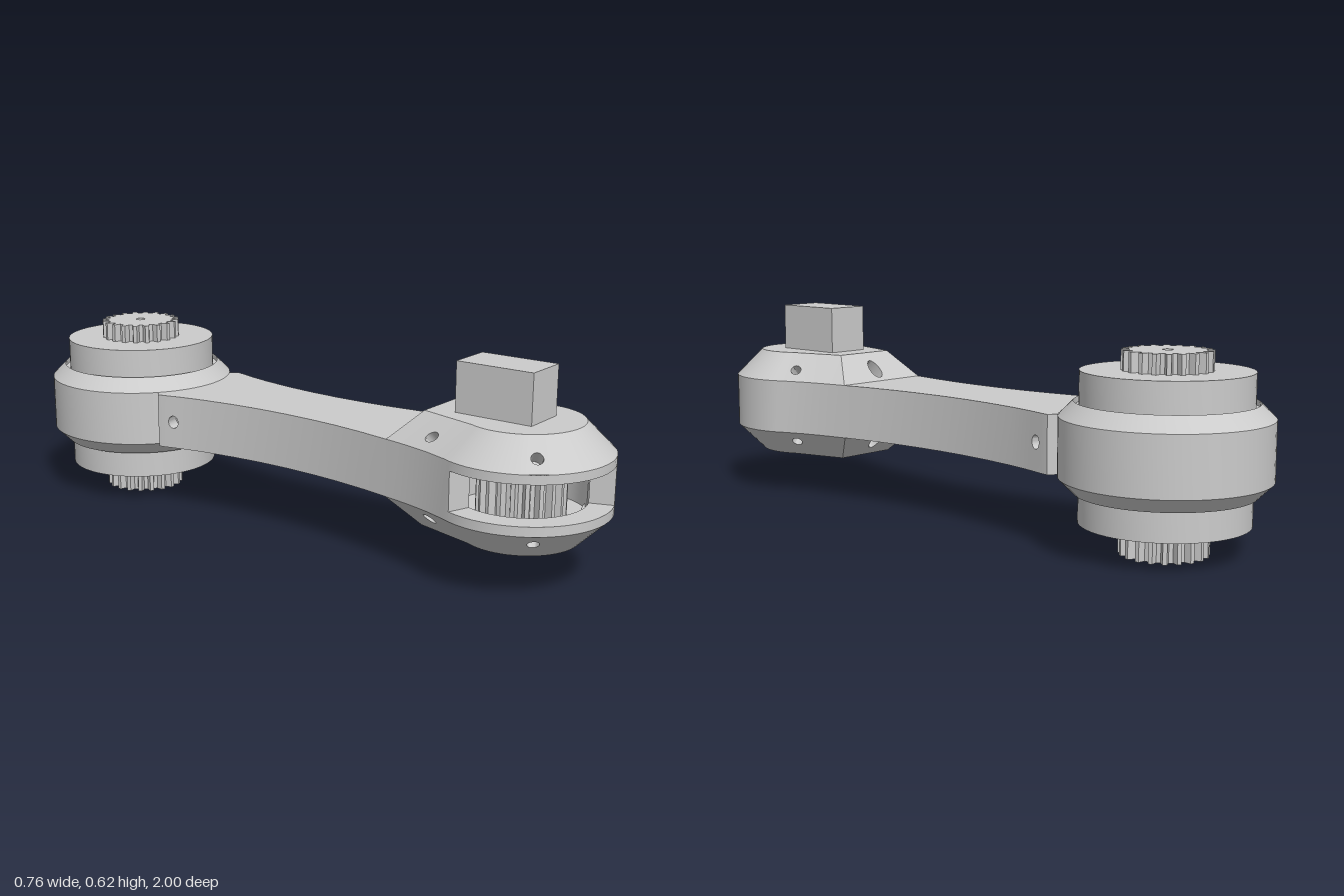
import * as THREE from 'three';
import { toCreasedNormals } from 'three/addons/utils/BufferGeometryUtils.js';

const LOW = 0.215, HIGH = 0.385, BASE = 0.13, TOP = 0.47; // link slab and head heights
const SLOT_LOW = 0.243, SLOT_HIGH = 0.358, FLOOR = 0.2, CEIL = 0.4;
const HEAD = 1.465; // distance from the rear joint to the head centre
const material = new THREE.MeshStandardMaterial({ color: 0xcccccc });

function addMesh(parent, name, geometry, x = 0, y = 0, z = 0) {
  const mesh = new THREE.Mesh(geometry, material);
  mesh.name = name;
  mesh.position.set(x, y, z);
  parent.add(mesh);
  return mesh;
}

// Collects quads, fans and panels with a drilled hole into one geometry
function surfaceBuilder() {
  const pos = [];
  const tri = (...pts) => pts.forEach(p => pos.push(p.x, p.y, p.z));
  const quad = (a, b, c, d) => { tri(a, b, c); tri(a, c, d); };
  const fan = (centre, pts, flip) => pts.forEach((p, i) => {
    const q = pts[(i + 1) % pts.length];
    flip ? tri(centre, q, p) : tri(centre, p, q);
  });
  // hole: centre s,t on the panel, radii rs,rt in panel fractions, depth
  const drilled = (a, b, c, d, { s = 0.5, t = 0.5, rs, rt, depth = 0.05 }) => {
    const at = p => a.clone().lerp(b, p.x).lerp(d.clone().lerp(c, p.x), p.y);
    const square = [[0, 0], [1, 0], [1, 1], [0, 1]].map(p => new THREE.Vector2(...p));
    const rim = Array.from({ length: 16 }, (_, i) => {
      const w = i / 8 * Math.PI;
      return new THREE.Vector2(s + rs * Math.cos(w), t + rt * Math.sin(w));
    });
    const hole = rim.slice().reverse();
    const all = [...square, ...hole].map(at);
    THREE.ShapeUtils.triangulateShape(square, [hole]).forEach(f => tri(...f.map(i => all[i])));
    const inward = b.clone().sub(a).cross(d.clone().sub(a)).normalize().multiplyScalar(-depth);
    const up = rim.map(at), down = up.map(p => p.clone().add(inward));
    up.forEach((p, i) => {
      const j = (i + 1) % up.length;
      quad(down[j], down[i], p, up[j]);
    });
    fan(at(new THREE.Vector2(s, t)).add(inward), down);
  };
  const build = () => {
    const g = new THREE.BufferGeometry();
    g.setAttribute('position', new THREE.Float32BufferAttribute(pos, 3));
    return toCreasedNormals(g, 0.45);
  };
  return { quad, fan, drilled, build };
}

const P = (p, y) => new THREE.Vector3(p[0], y, p[1]);
const polar = (r, deg) => {
  const w = THREE.MathUtils.degToRad(deg);
  return [r * Math.sin(w), HEAD + r * Math.cos(w)];
};
const mirrored = half => [...half, ...half.slice().reverse().map(([u, v]) => [-u, v])];

// Waisted arm between the joint and the head
function armGeometry() {
  const half = [[0.172, 0.242], [0.195, 0.26], [0.19, 0.285], [0.175, 0.34], [0.158, 0.42], [0.142, 0.53],
    [0.133, 0.63], [0.13, 0.73], [0.132, 0.83], [0.138, 0.92], [0.15, 1.02], [0.167, 1.12]];
  const s = surfaceBuilder();
  for (let i = 0; i < half.length - 1; i++) {
    const [r0, r1] = [half[i], half[i + 1]];
    const [l0, l1] = [r0, r1].map(([u, v]) => [-u, v]);
    s.quad(P(l0, HIGH), P(l1, HIGH), P(r1, HIGH), P(r0, HIGH));
    s.quad(P(r0, LOW), P(r1, LOW), P(l1, LOW), P(l0, LOW));
    for (const [a, b] of [[l0, l1], [r1, r0]]) {
      const face = [P(a, LOW), P(b, LOW), P(b, HIGH), P(a, HIGH)];
      if (i === 2) s.drilled(...face, { rs: 0.3, rt: 0.12 }); // screw holes near the joint
      else s.quad(...face);
    }
  }
  return s.build();
}

// Chamfered head with a side slot opening into a round gear cavity
function headGeometry() {
  const s = surfaceBuilder();
  const side = [[0.167, 1.12], [0.176, 1.17], [0.187, 1.22], [0.203, 1.28]];
  const arc = Array.from({ length: 37 }, (_, i) => -117 + 6.5 * i);
  const [ru, rv] = polar(0.17, 117);
  const inSide = side.map(([, v]) => {
    const k = (v - 1.12) / (1.349 - 1.12);
    return [0.103 + (ru - 0.103) * k, 1.205 + (rv - 1.205) * k];
  });
  const loop = (edge, r) => [...edge.map(([u, v]) => [-u, v]), ...arc.map(d => polar(r, d)), ...edge.slice().reverse()];
  const outer = loop(side, 0.255), inset = loop(inSide, 0.17);
  const n = outer.length, first = side.length;
  const slotStart = 1, slotEnd = 21; // arc steps the slot covers
  const inSlot = i => i >= slotStart && i < slotEnd;

  // Chamfers: start index -> hole, some spanning two steps
  const round = { t: 0.4, rs: 0.34, rt: 0.15 };
  const holes = { 2: round, [first + 9]: { ...round, span: 2 }, [first + 23]: { ...round, span: 2 },
    [first + 36]: { ...round, rs: 0.28 }, [n - 1]: { t: 0.42, rs: 0.08, rt: 0.3 } };
  for (let i = 0; i < n;) {
    const h = holes[i], next = i + (h?.span ?? 1), j = next % n;
    const up = [P(outer[i], HIGH), P(outer[j], HIGH), P(inset[j], TOP), P(inset[i], TOP)];
    const down = [P(inset[i], BASE), P(inset[j], BASE), P(outer[j], LOW), P(outer[i], LOW)];
    if (h) {
      s.drilled(...up, h);
      s.drilled(...down, { ...h, t: 1 - h.t });
    } else {
      s.quad(...up);
      s.quad(...down);
    }
    i = next;
  }
  s.fan(P([0, HEAD], TOP), inset.map(p => P(p, TOP)));
  s.fan(P([0, HEAD], BASE), inset.map(p => P(p, BASE)), true);

  // Outer wall, split into two lips along the slot
  const wall = (a, b, y0, y1) => s.quad(P(a, y0), P(b, y0), P(b, y1), P(a, y1));
  for (let i = 0; i < n - 1; i++) {
    const bands = inSlot(i - first) ? [[LOW, SLOT_LOW], [SLOT_HIGH, HIGH]] : [[LOW, HIGH]];
    bands.forEach(b => wall(outer[i], outer[i + 1], ...b));
  }

  // Cavity wall, floor, ceiling and the slot's faces
  const angles = [...arc, ...Array.from({ length: 11 }, (_, i) => 117 + 10.5 * (i + 1))];
  const ring = angles.map(d => polar(0.185, d));
  ring.forEach((p, i) => {
    const q = ring[(i + 1) % ring.length];
    const bands = inSlot(i) ? [[FLOOR, SLOT_LOW], [SLOT_HIGH, CEIL]] : [[FLOOR, CEIL]];
    bands.forEach(b => wall(q, p, ...b));
    if (!inSlot(i)) return;
    const [a, b] = [outer[first + i], outer[first + i + 1]];
    s.quad(P(p, SLOT_LOW), P(a, SLOT_LOW), P(b, SLOT_LOW), P(q, SLOT_LOW));
    s.quad(P(q, SLOT_HIGH), P(b, SLOT_HIGH), P(a, SLOT_HIGH), P(p, SLOT_HIGH));
  });
  s.fan(P([0, HEAD], FLOOR), ring.map(p => P(p, FLOOR)));
  s.fan(P([0, HEAD], CEIL), ring.map(p => P(p, CEIL)), true);
  wall(outer[first + slotStart], ring[slotStart], SLOT_LOW, SLOT_HIGH);
  wall(ring[slotEnd], outer[first + slotEnd], SLOT_LOW, SLOT_HIGH);
  return s.build();
}

// Spur gear standing on y = 0
function gearGeometry(height, teeth = 20) {
  const step = Math.PI * 2 / teeth, pts = [];
  for (let i = 0; i < teeth; i++)
    for (const [k, r] of [[-0.32, 0.106], [-0.25, 0.114], [-0.15, 0.127], [0.15, 0.127], [0.25, 0.114], [0.32, 0.106]])
      pts.push(new THREE.Vector2(r * Math.cos((i + k) * step), r * Math.sin((i + k) * step)));
  const shape = new THREE.Shape(pts);
  shape.holes.push(new THREE.Path().absarc(0, 0, 0.015, 0, Math.PI * 2, true));
  const g = new THREE.ExtrudeGeometry(shape, { depth: height, bevelEnabled: false, curveSegments: 10 });
  return g.rotateX(-Math.PI / 2);
}

// Round housing with a stepped hub above and below
function housingGeometry() {
  const lower = [[0, 0.088], [0.24, 0.088], [0.24, 0.19], [0.255, 0.19], [0.255, 0.173], [0.297, LOW]];
  const profile = [...lower, ...lower.slice().reverse().map(([r, y]) => [r, 0.6 - y])];
  const g = new THREE.LatheGeometry(profile.map(p => new THREE.Vector2(...p)), 72);
  return toCreasedNormals(g, 0.5);
}

export function createModel() {
  const model = new THREE.Group();
  model.name = 'jointedLink';
  const link = new THREE.Group();
  link.name = 'link';
  link.position.set(-0.085, 0, -0.705);
  link.rotation.y = 0.1438;
  model.add(link);

  addMesh(link, 'jointHousing', housingGeometry());
  addMesh(link, 'lowerGear', gearGeometry(0.088));
  addMesh(link, 'upperGear', gearGeometry(0.056), 0, 0.512, 0);
  addMesh(link, 'arm', armGeometry());
  addMesh(link, 'head', headGeometry());
  addMesh(link, 'headGear', gearGeometry(CEIL - FLOOR), 0, FLOOR, HEAD);
  addMesh(link, 'topBlock', new THREE.BoxGeometry(0.14, 0.147, 0.24), 0, 0.5435, 1.404);
  return model;
}
